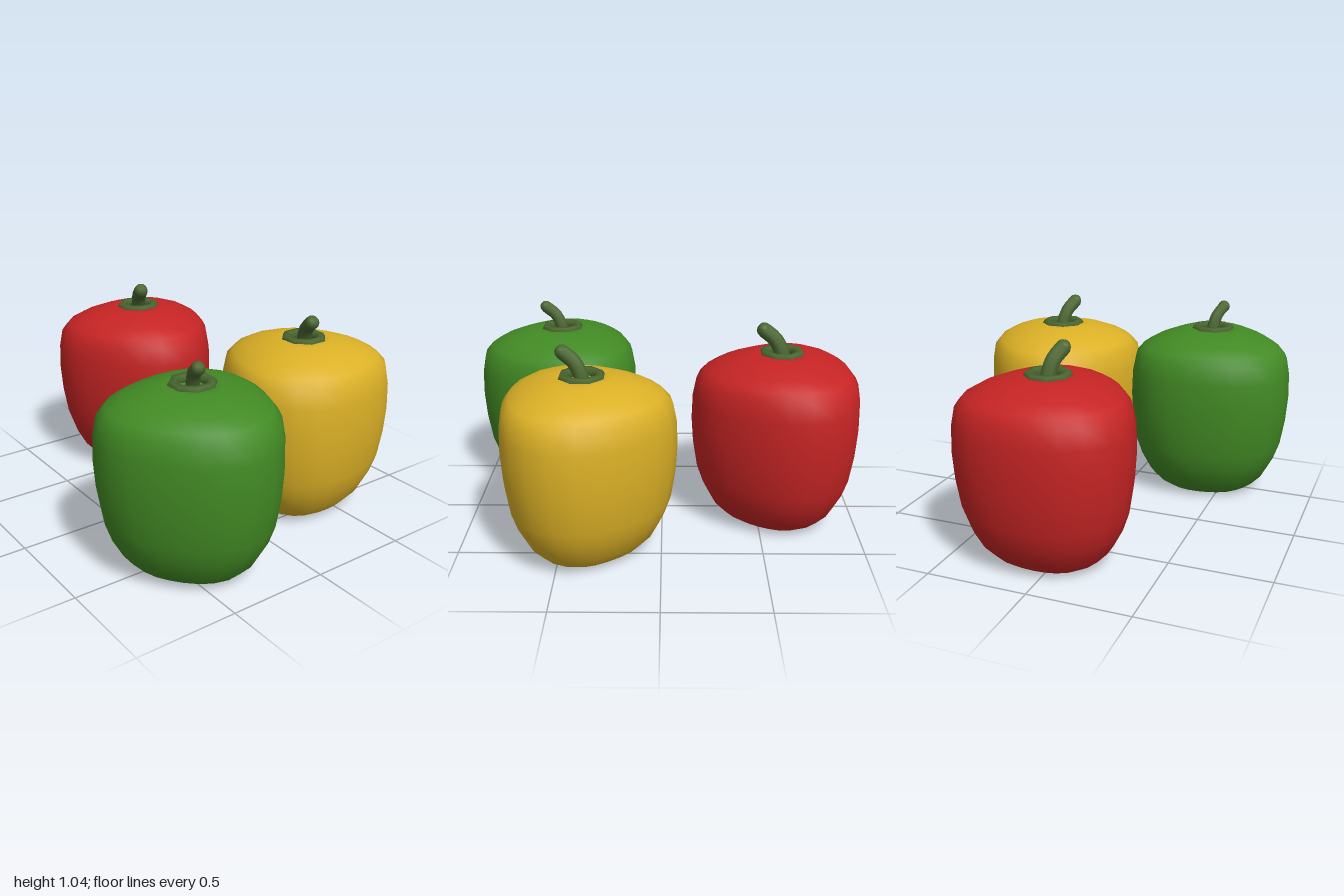
import * as THREE from 'three';
import { mergeVertices } from 'three/addons/utils/BufferGeometryUtils.js';

const mat = (name, color) => {
  const m = new THREE.MeshStandardMaterial({ color });
  m.name = name;
  return m;
};

// Half outline from the bottom dimple to the top dimple: [share of radius, height]
const OUTLINE = [
  [0, 0.035], [0.08, 0.04], [0.2, 0.06], [0.36, 0.03], [0.5, 0.007], [0.62, 0.04], [0.75, 0.1],
  [0.86, 0.19], [0.93, 0.28], [0.98, 0.42], [1, 0.55], [0.99, 0.68], [0.95, 0.77],
  [0.86, 0.815], [0.71, 0.852], [0.52, 0.882], [0.34, 0.898], [0.22, 0.9],
  [0.13, 0.875], [0, 0.86],
];
const RADIUS = 0.423;

// Lathed body whose radius swells into three lobes, the first pointing at angle `turn`
function bodyGeometry(turn) {
  const points = OUTLINE.map(([r, y]) => new THREE.Vector2(r * RADIUS, y));
  let geo = new THREE.LatheGeometry(points, 24);
  const pos = geo.attributes.position;
  for (let i = 0; i < pos.count; i++) {
    const x = pos.getX(i), z = pos.getZ(i);
    const swell = 1 + 0.06 * Math.cos(3 * (Math.atan2(z, x) - turn));
    pos.setXYZ(i, x * swell, pos.getY(i), z * swell);
  }
  geo.deleteAttribute('normal');
  geo.deleteAttribute('uv');
  geo = mergeVertices(geo, 1e-4);
  geo.computeVertexNormals();
  return geo;
}

function pepper(name, skin, stemMat, { x, z, turn, stemRadius, stemTop }) {
  const group = new THREE.Group();
  group.name = name;
  group.position.set(x, 0, z);
  const add = (part, geo, material) => {
    const mesh = new THREE.Mesh(geo, material);
    mesh.name = part;
    group.add(mesh);
    return mesh;
  };

  add('body', bodyGeometry(turn), skin);

  // Faceted collar around the top dimple
  const collar = new THREE.TorusGeometry(0.09, 0.028, 6, 8);
  collar.rotateX(Math.PI / 2);
  collar.rotateY(Math.PI / 8);
  add('collar', collar, stemMat);
  group.children.at(-1).position.y = 0.892;

  // Bent stem with a rounded tip
  const tip = new THREE.Vector3(0.09, stemTop - stemRadius, 0.035);
  const path = new THREE.CatmullRomCurve3([
    new THREE.Vector3(-0.01, 0.85, -0.005),
    new THREE.Vector3(0.005, 0.91, 0),
    new THREE.Vector3(0.035, 0.965, 0.013),
    tip,
  ]);
  add('stem', new THREE.TubeGeometry(path, 8, stemRadius, 8), stemMat);
  add('stemTip', new THREE.SphereGeometry(stemRadius, 8, 6), stemMat).position.copy(tip);
  return group;
}

export function createModel() {
  const model = new THREE.Group();
  model.name = 'peppers';
  const stem = mat('stem green', 0x4a6630);
  const deg = Math.PI / 180;
  model.add(
    pepper('redPepper', mat('red skin', 0xc62424), stem,
      { x: -0.6, z: -0.055, turn: 0, stemRadius: 0.038, stemTop: 1.045 }),
    pepper('yellowPepper', mat('yellow skin', 0xdbb026), stem,
      { x: 0.37, z: -0.415, turn: 174 * deg, stemRadius: 0.036, stemTop: 1.042 }),
    pepper('greenPepper', mat('green skin', 0x428a24), stem,
      { x: 0.55, z: 0.4, turn: -9 * deg, stemRadius: 0.032, stemTop: 1.035 }),
  );
  return model;
}
